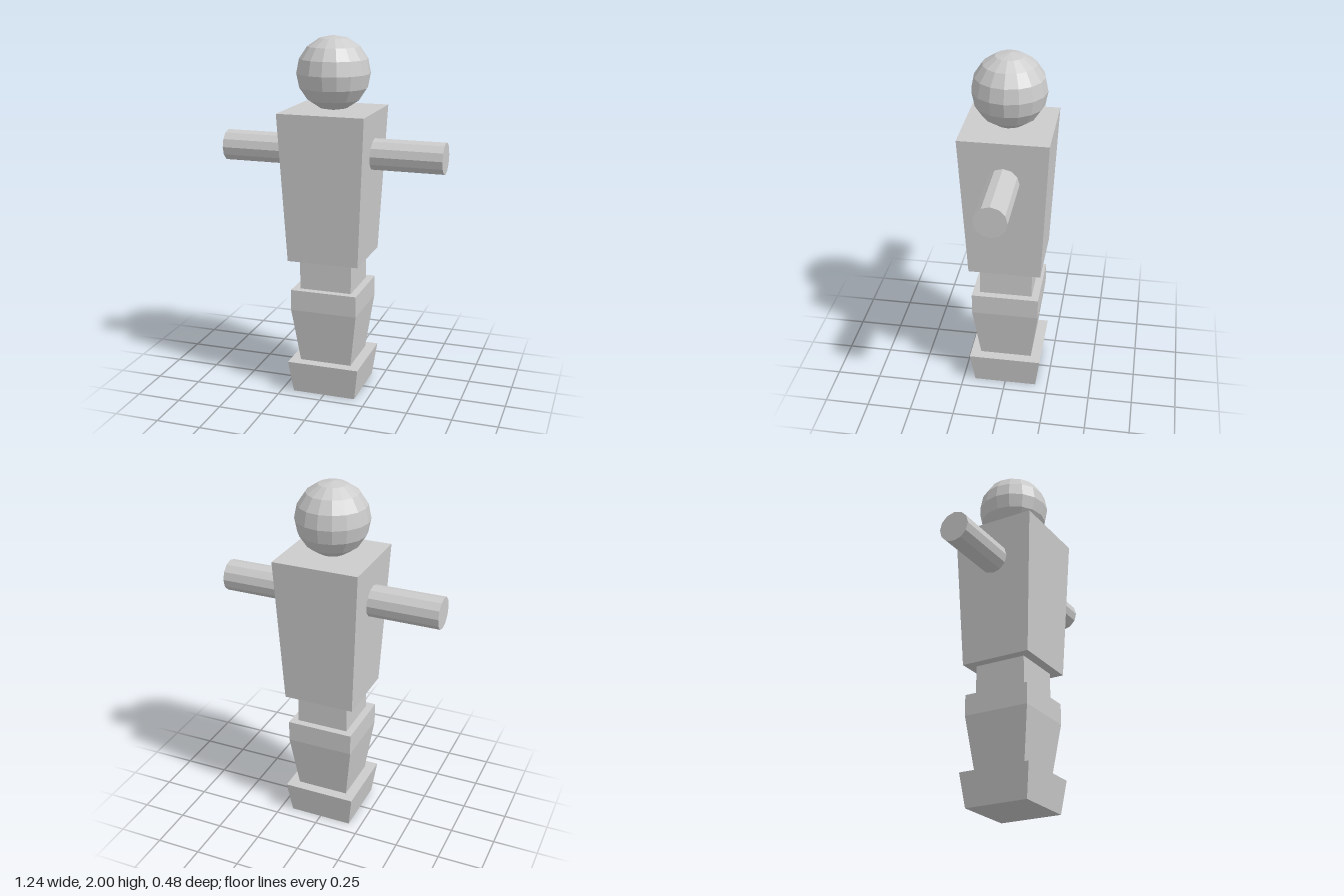
import * as THREE from 'three';

const material = new THREE.MeshStandardMaterial({ color: 0xcccccc, flatShading: true });

function add(group, name, geometry, x = 0, y = 0) {
  const mesh = new THREE.Mesh(geometry, material);
  mesh.name = name;
  mesh.position.set(x, y, 0);
  group.add(mesh);
  return mesh;
}

// Square tapered block between two heights, given half widths at bottom and top
function block(group, name, y0, y1, half0, half1, openEnded = false) {
  const geometry = new THREE.CylinderGeometry(
    half1 * Math.SQRT2, half0 * Math.SQRT2, y1 - y0, 4, 1, openEnded);
  geometry.rotateY(Math.PI / 4);
  return add(group, name, geometry, 0, (y0 + y1) / 2);
}

export function createModel() {
  const figure = new THREE.Group();
  figure.name = 'tableFootballPlayer';

  // Foot and leg
  block(figure, 'foot', 0, 0.185, 0.18, 0.205);
  block(figure, 'lowerLeg', 0.185, 0.495, 0.147, 0.188);
  block(figure, 'upperLeg', 0.495, 0.613, 0.188, 0.188);

  // Waist and flared torso
  block(figure, 'waist', 0.613, 0.785, 0.147, 0.147);
  block(figure, 'torso', 0.785, 1.605, 0.2, 0.24);

  // Rod-like arms
  for (const [side, name] of [[1, 'leftArm'], [-1, 'rightArm']]) {
    const arm = new THREE.CylinderGeometry(0.087, 0.087, 0.47, 12);
    arm.rotateZ(Math.PI / 2);
    add(figure, name, arm, side * 0.387, 1.373);
  }

  // Head
  add(figure, 'head', new THREE.SphereGeometry(0.2, 16, 8), 0, 1.8);

  return figure;
}
